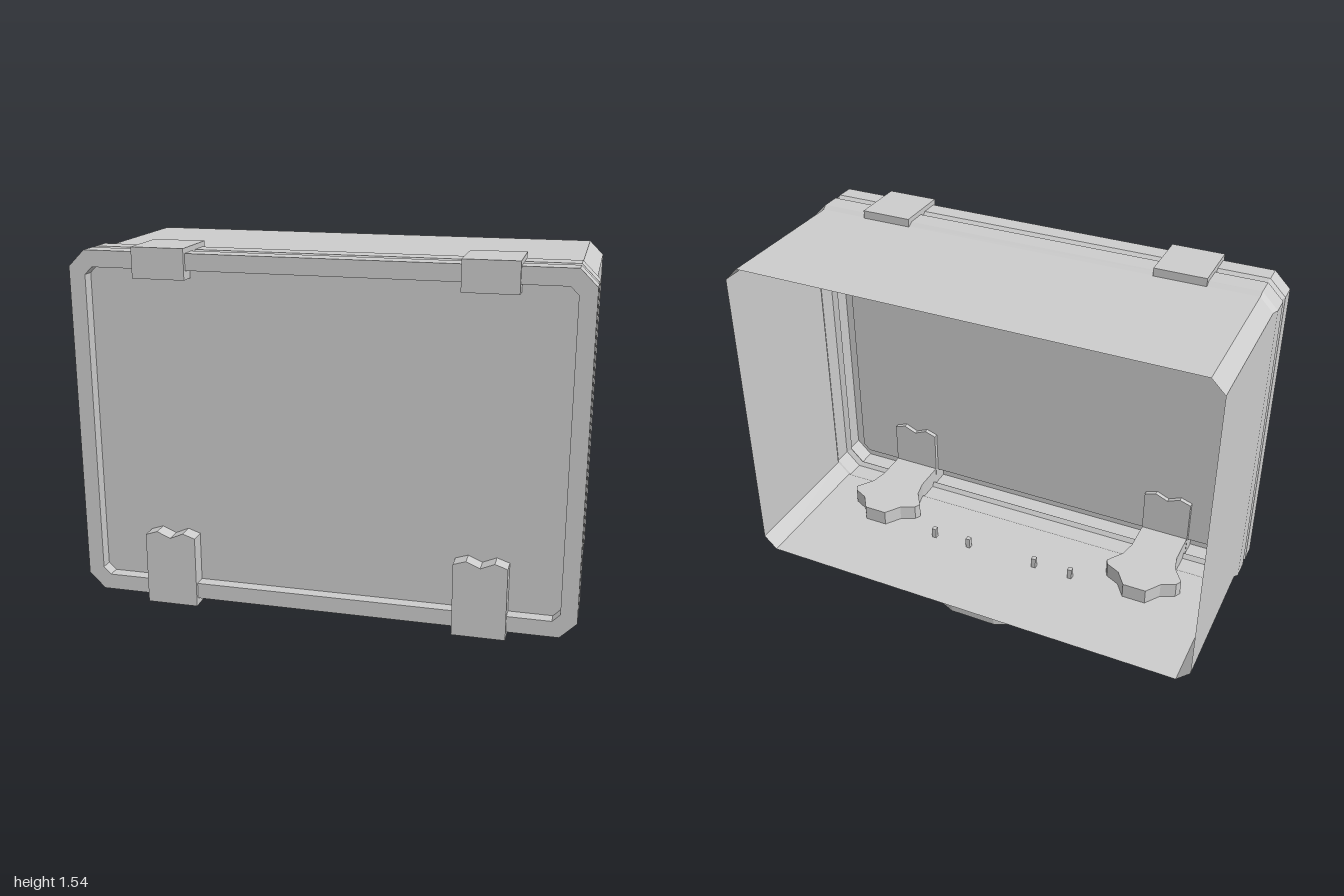
import * as THREE from 'three';

const shapeOf = (pts) => new THREE.Shape(pts.map(([x, y]) => new THREE.Vector2(x, y)));

// Prism from a plan outline [x, z], hanging down from height top
function planPrism(pts, top, depth) {
  const g = new THREE.ExtrudeGeometry(shapeOf(pts), { depth, bevelEnabled: false });
  return g.rotateX(Math.PI / 2).translate(0, top, 0);
}

// Closed outline from its +x half, listed front to back
const mirrored = (half) => [...half, ...half.slice().reverse().map(([x, z]) => [-x, z])];

// Chamfered rectangle, counter-clockwise seen from the front
function octagon([z, hx, hy, c], cy) {
  return [[hx, c - hy], [hx, hy - c], [hx - c, hy], [c - hx, hy],
    [-hx, hy - c], [-hx, c - hy], [c - hx, -hy], [hx - c, -hy]]
    .map(([x, y]) => [x, y + cy, z]);
}

// Open-backed shell lofted through chamfered rectangles, closed by a front panel
function shellGeometry(sections, cy) {
  const rings = sections.map((s) => octagon(s, cy));
  const pos = [];
  for (let k = 0; k < rings.length - 1; k++) {
    const a = rings[k], b = rings[k + 1];
    for (let i = 0; i < 8; i++) {
      const j = (i + 1) % 8;
      pos.push(...a[i], ...a[j], ...b[j], ...a[i], ...b[j], ...b[i]);
    }
  }
  const cap = rings[rings.length - 1];
  for (let i = 1; i < 7; i++) pos.push(...cap[0], ...cap[i], ...cap[i + 1]);
  const g = new THREE.BufferGeometry();
  g.setAttribute('position', new THREE.Float32BufferAttribute(pos, 3));
  g.computeVertexNormals();
  return g;
}

export function createModel() {
  const group = new THREE.Group();
  const grey = new THREE.MeshStandardMaterial({ color: 0xcccccc, side: THREE.DoubleSide });
  grey.name = 'plain grey';

  const add = (name, geometry, parent = group) => {
    const mesh = new THREE.Mesh(geometry, grey);
    mesh.name = name;
    parent.add(mesh);
    return mesh;
  };
  const box = (name, x0, x1, y0, y1, z0, z1, parent) =>
    add(name, new THREE.BoxGeometry(x1 - x0, y1 - y0, z1 - z0)
      .translate((x0 + x1) / 2, (y0 + y1) / 2, (z0 + z1) / 2), parent);

  // Case: body, flared rim, groove, lid rim and recessed panel [z, halfX, halfY, chamfer]
  add('caseShell', shellGeometry([
    [-0.42, 0.988, 0.692, 0.055],
    [0.2, 0.988, 0.692, 0.055],
    [0.22, 1, 0.705, 0.065],
    [0.3, 1, 0.705, 0.065],
    [0.313, 0.978, 0.685, 0.055],
    [0.335, 1, 0.705, 0.065],
    [0.41, 1, 0.705, 0.065],
    [0.41, 0.935, 0.64, 0.03],
    [0.36, 0.935, 0.64, 0.03],
  ], 0.815));

  for (const side of [-1, 1]) {
    const label = side > 0 ? 'left' : 'right';

    // Block hinge over the top seam
    box(label + 'Hinge', side * 0.628 - 0.105, side * 0.628 + 0.105, 1.42, 1.54, 0.195, 0.425);

    // Latch: notched upright plate and flared foot
    const latch = new THREE.Group();
    latch.name = label + 'Latch';
    latch.position.x = side * 0.628;
    group.add(latch);
    const plate = shapeOf([[-0.105, 0.08], [0.105, 0.08], [0.105, 0.375], [0.055, 0.392],
      [0, 0.368], [-0.055, 0.392], [-0.105, 0.375]]);
    add('latchPlate', new THREE.ExtrudeGeometry(plate, { depth: 0.085, bevelEnabled: false })
      .translate(0, 0, 0.34), latch);
    add('latchFoot', planPrism(mirrored([[0.104, 0.415], [0.104, 0.2], [0.12, 0.13],
      [0.168, 0.06], [0.155, 0.035], [0.095, 0.005], [0.05, -0.06]]), 0.19, 0.109), latch);

    // Staples holding the handle arm: a peg through the case and a pin into the arm
    for (const [peg, arm] of [[0.33, 0.27], [0.16, 0.21]]) {
      const p = side * peg, a = side * arm;
      box('handlePeg', p - 0.01, p + 0.01, 0.07, 0.17, -0.05, -0.03);
      box('handlePin', Math.min(p, a), Math.max(p, a), 0.07, 0.088, -0.05, -0.03);
    }
  }

  // C-shaped handle, tilted slightly away from the case
  const outer = [[0.29, 0.015], [0.29, -0.165], [0.21, -0.285], [0.1, -0.33]];
  const inner = [[0.1, -0.215], [0.165, -0.18], [0.195, -0.11], [0.195, 0.015]];
  const flip = (pts) => pts.slice().reverse().map(([x, z]) => [-x, z]);
  add('handle', planPrism([...outer, ...flip(outer), ...flip(inner), ...inner], 0.115, 0.09)
    .rotateX(-0.07));

  return group;
}
